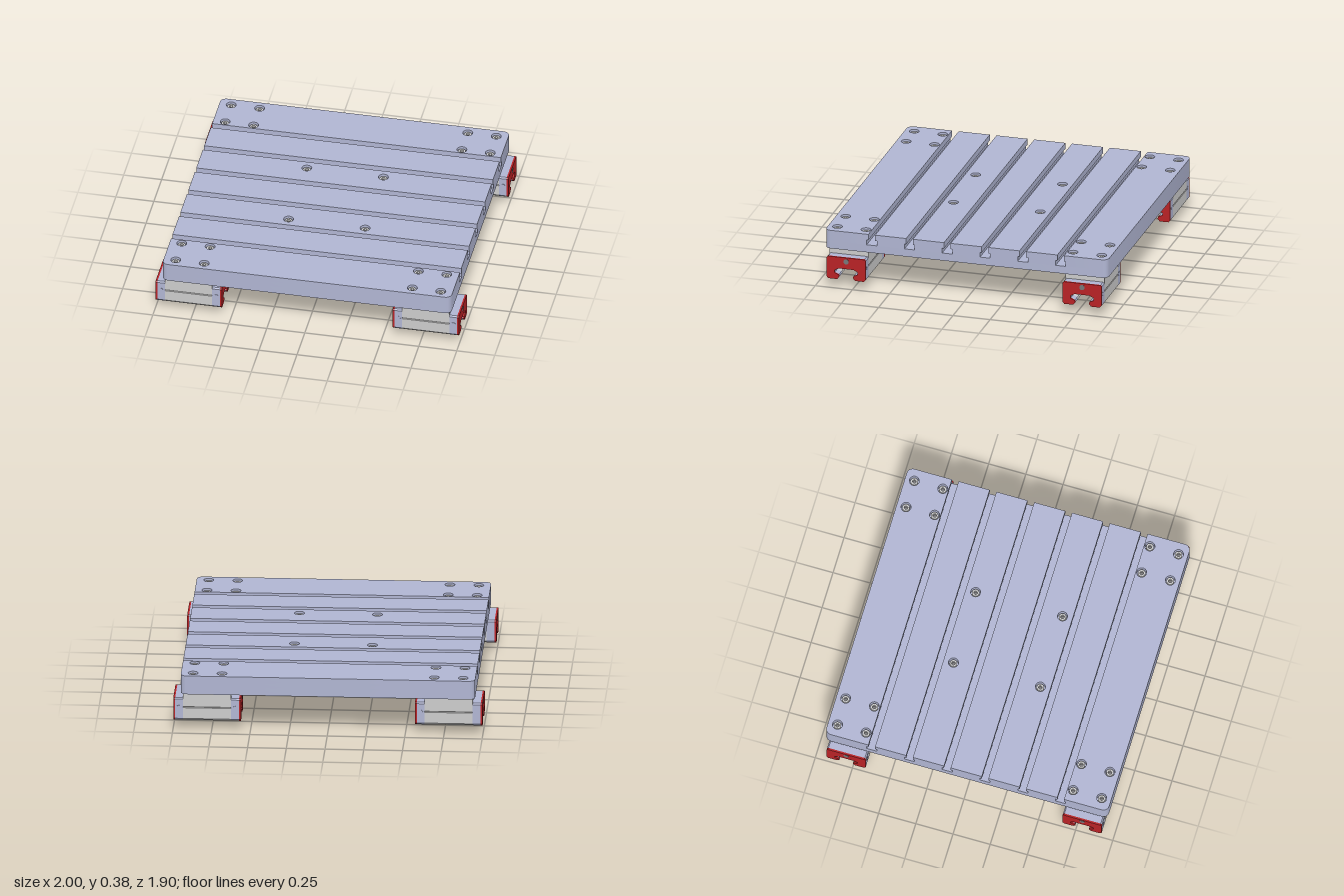
import * as THREE from 'three';
import { toCreasedNormals } from 'three/addons/utils/BufferGeometryUtils.js';

const mat = (color) => new THREE.MeshStandardMaterial({ color });
const GREY = mat(0xcccccc), BLUE = mat(0xb0b5d2), RED = mat(0xb82226), DARK = mat(0x77777a);

function add(parent, name, geometry, material) {
  const mesh = new THREE.Mesh(geometry, material);
  mesh.name = name;
  parent.add(mesh);
  return mesh;
}

const polygon = (pts) => new THREE.Shape(pts.map(([a, b]) => new THREE.Vector2(a, b)));
// closes a half profile by mirroring it
const mirrored = (half) => polygon([...half, ...half.map(([z, y]) => [-z, y]).reverse()]);

function extrude(shape, depth) {
  const g = new THREE.ExtrudeGeometry(shape, { depth, bevelEnabled: false, curveSegments: 20 });
  return toCreasedNormals(g, 0.5);
}
// profile in (z, y), swept from x0 to x1
const alongX = (shape, x0, x1) => extrude(shape, x1 - x0).rotateY(-Math.PI / 2).translate(x1, 0, 0);
// outline in (x, -z), raised from y0 to y1
const upward = (shape, y0, y1) => extrude(shape, y1 - y0).rotateX(-Math.PI / 2).translate(0, y0, 0);

function arc(cy, r, from, to, n) {
  return Array.from({ length: n + 1 }, (_, i) => {
    const a = from + ((to - from) * i) / n;
    return [r * Math.cos(a), cy + r * Math.sin(a)];
  });
}

// table strip between v0 and v1, rounded where it meets the table ends
function stripShape(v0, v1) {
  const X = 0.95, a = v0 < -0.94 ? 0.04 : 0, b = v1 > 0.94 ? 0.04 : 0;
  const s = new THREE.Shape();
  s.moveTo(-X + a, v0).lineTo(X - a, v0);
  if (a) s.absarc(X - a, v0 + a, a, -Math.PI / 2, 0);
  s.lineTo(X, v1 - b);
  if (b) s.absarc(X - b, v1 - b, b, 0, Math.PI / 2);
  s.lineTo(-X + b, v1);
  if (b) s.absarc(-X + b, v1 - b, b, Math.PI / 2, Math.PI);
  s.lineTo(-X, v0 + a);
  if (a) s.absarc(-X + a, v0 + a, a, Math.PI, Math.PI * 1.5);
  return s;
}

function createTable() {
  const table = new THREE.Group();
  table.name = 'slottedTable';
  const slots = [-0.635, -0.381, -0.127, 0.127, 0.381, 0.635];
  const holes = [];
  for (const sx of [-1, 1]) for (const sz of [-1, 1]) {
    holes.push([sx * 0.252, sz * 0.292]);
    for (const x of [0.685, 0.872]) for (const z of [0.696, 0.888]) holes.push([sx * x, sz * z]);
  }
  add(table, 'tableBase', upward(stripShape(-0.95, 0.95), 0.25, 0.302), BLUE);

  // strips left between the slots: wide lower slot, narrow neck above
  for (const [name, half, y0, y1, drilled] of [
    ['slotWall', 0.034, 0.302, 0.335, false], ['topStrip', 0.0225, 0.335, 0.375, true]]) {
    for (let i = 0; i <= slots.length; i++) {
      const v0 = i ? slots[i - 1] + half : -0.95;
      const v1 = i < slots.length ? slots[i] - half : 0.95;
      const shape = stripShape(v0, v1);
      if (drilled) for (const [x, z] of holes) {
        if (z > v0 && z < v1) shape.holes.push(new THREE.Path().absarc(x, z, 0.032, 0, Math.PI * 2, true));
      }
      add(table, name, upward(shape, y0, y1), BLUE);
    }
  }

  // socket head screws in the counterbores
  const head = new THREE.Shape().absarc(0, 0, 0.024, 0, Math.PI * 2);
  head.holes.push(new THREE.Path(arc(0, 0.013, 0, Math.PI * 2, 6).map(([x, y]) => new THREE.Vector2(x, y))));
  const headGeometry = upward(head, 0.335, 0.364);
  const floorGeometry = new THREE.CylinderGeometry(0.014, 0.014, 0.01, 12);
  for (const [x, z] of holes) {
    add(table, 'screwHead', headGeometry, GREY).position.set(x, 0, z);
    add(table, 'screwSocketFloor', floorGeometry, DARK).position.set(x, 0.34, z);
  }
  return table;
}

// rail opening shared by all carriage sections, from the leg tip inward
const railOpening = [[0.06, 0.062], [0.046, 0.08], [0.05, 0.093], [0.078, 0.105], [0.078, 0.122], [0.05, 0.137]];

function createCarriage() {
  const carriage = new THREE.Group();
  carriage.name = 'carriage';
  const endProfile = mirrored([[0.035, 0.215], [0.122, 0.215], [0.131, 0.206], [0.131, 0.075],
    [0.12, 0.062], ...railOpening].reverse());
  const bodyProfile = mirrored([[0.125, 0.25], [0.131, 0.244], [0.131, 0.156], [0.126, 0.152],
    [0.131, 0.148], [0.131, 0.075], [0.12, 0.062], ...railOpening].reverse());
  add(carriage, 'carriageBody', alongX(bodyProfile, -0.155, 0.155), GREY);
  for (const s of [-1, 1]) {
    const span = (a, b) => (s > 0 ? [a, b] : [-b, -a]);
    add(carriage, 'endBlock', alongX(endProfile, ...span(0.155, 0.206)), BLUE);
    add(carriage, 'endSeal', alongX(endProfile, ...span(0.206, 0.218)), RED);
    const plug = new THREE.CylinderGeometry(0.018, 0.018, 0.01, 20).rotateZ(Math.PI / 2);
    add(carriage, 'greasePort', plug, DARK).position.set(s * 0.215, 0.188, 0);
    const screw = new THREE.CylinderGeometry(0.015, 0.015, 0.01, 16).rotateX(Math.PI / 2);
    for (const z of [-0.1275, 0.1275]) add(carriage, 'sideScrew', screw, BLUE).position.set(s * 0.182, 0.15, z);
  }
  return carriage;
}

function createNutMount() {
  const mount = new THREE.Group();
  mount.name = 'nutMount';

  // channel bracket hung under the table, relieved for the bore
  const t = Math.asin(0.043 / 0.086);
  const bracket = polygon([
    [-0.318, 0.25], [-0.318, 0.155], [-0.308, 0.147], [-0.278, 0.147], [-0.27, 0.125],
    ...arc(0.082, 0.086, Math.PI - t, t, 24),
    [0.27, 0.125], [0.278, 0.147], [0.308, 0.147], [0.318, 0.155], [0.318, 0.25],
    [0.268, 0.25], [0.268, 0.188], [-0.268, 0.188], [-0.268, 0.25]]);
  add(mount, 'bracket', alongX(bracket, -0.282, 0.28), GREY);

  // open bearing housing
  const mouth = 0.97;
  const housing = polygon([
    [0.07, 0], [0.1, 0.04], [0.1, 0.115], [0.108, 0.14], [0.135, 0.16], [0.135, 0.187],
    [-0.135, 0.187], [-0.135, 0.16], [-0.108, 0.14], [-0.1, 0.115], [-0.1, 0.04], [-0.07, 0], [-0.042, 0],
    ...arc(0.082, 0.076, Math.PI + mouth, -mouth, 40), [0.042, 0]]);
  add(mount, 'bearingHousing', alongX(housing, -0.096, 0.22), GREY);

  // small screws on the bracket end and the hanger faces
  const endScrew = new THREE.CylinderGeometry(0.009, 0.009, 0.008, 12).rotateZ(Math.PI / 2);
  for (const x of [-0.282, 0.28]) for (const z of [-0.1, -0.025, 0.025, 0.1]) {
    add(mount, 'endScrew', endScrew, DARK).position.set(x, Math.abs(z) > 0.05 ? 0.158 : 0.178, z);
  }
  const faceScrew = new THREE.CylinderGeometry(0.008, 0.008, 0.006, 12).rotateX(Math.PI / 2);
  for (const x of [-0.095, 0.095]) for (const z of [-0.317, 0.317]) {
    add(mount, 'faceScrew', faceScrew, DARK).position.set(x, 0.233, z);
  }

  // thin sensor plate folded down in front of the bracket
  const plate = mirrored([[0.048, 0.05], [0.048, 0.07], [0.128, 0.07], [0.128, 0.214]]);
  add(mount, 'sensorPlate', extrude(plate, 0.004).translate(0, 0, 0.352), GREY);
  add(mount, 'sensorPlateFold', new THREE.BoxGeometry(0.256, 0.004, 0.04), GREY).position.set(0, 0.212, 0.334);
  return mount;
}

export function createModel() {
  const model = new THREE.Group();
  model.name = 'machineTable';
  model.add(createTable(), createNutMount());
  for (const x of [-0.78, 0.78]) for (const z of [-0.793, 0.793]) {
    const carriage = createCarriage();
    carriage.position.set(x, 0, z);
    model.add(carriage);
  }
  return model;
}
